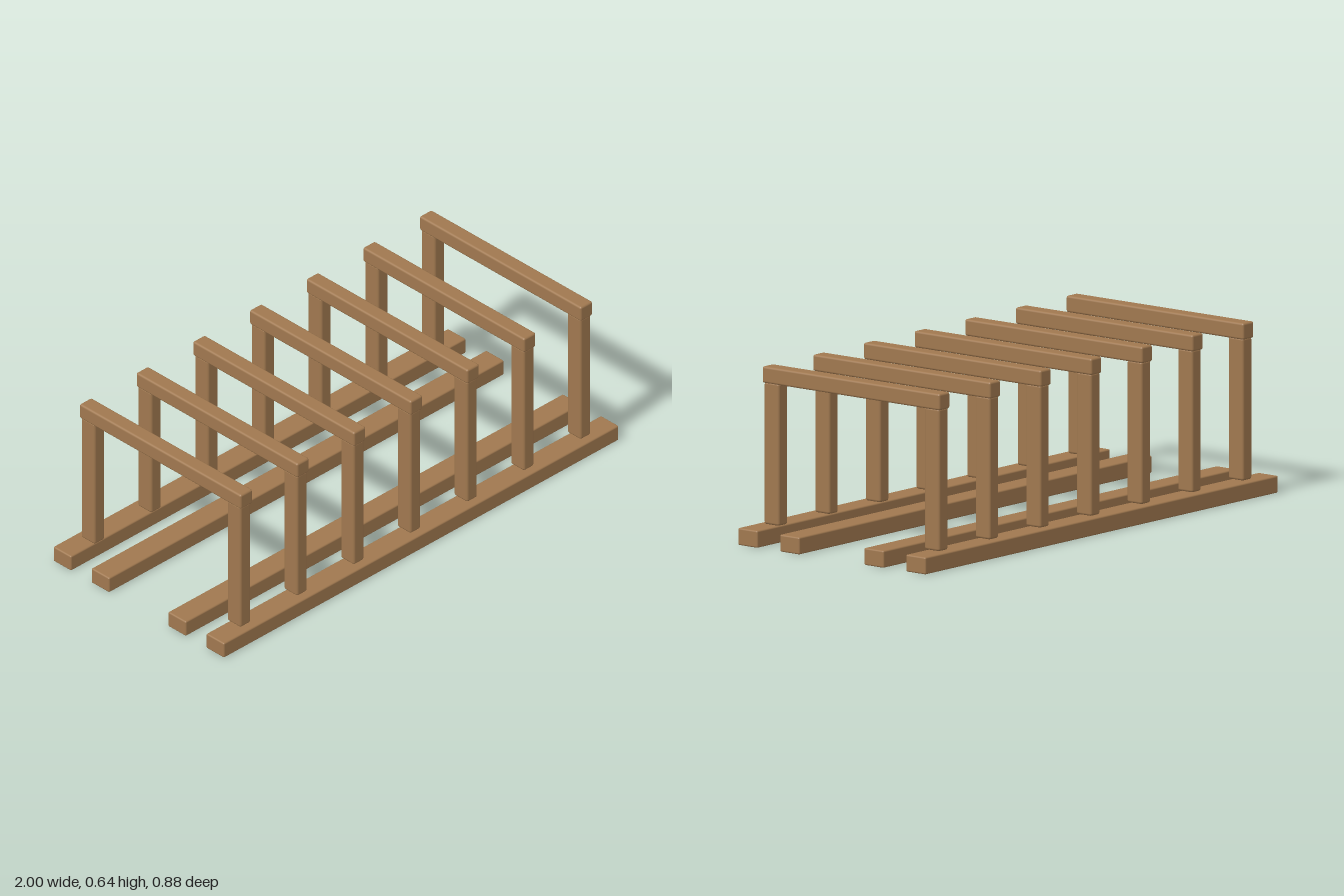
import * as THREE from 'three';
import { RoundedBoxGeometry } from 'three/addons/geometries/RoundedBoxGeometry.js';

export function createModel() {
  const model = new THREE.Group();
  model.name = 'timberRack';

  const wood = new THREE.MeshStandardMaterial({ color: 0xa0784f });
  wood.name = 'brown wood';

  // Softened timber given by its size and centre
  const timber = (parent, name, geometry, x, y, z) => {
    const mesh = new THREE.Mesh(geometry, wood);
    mesh.name = name;
    mesh.position.set(x, y, z);
    parent.add(mesh);
  };

  const railGeometry = new RoundedBoxGeometry(2, 0.063, 0.092, 2, 0.006);
  const postGeometry = new RoundedBoxGeometry(0.053, 0.524, 0.07, 2, 0.009);
  const beamGeometry = new RoundedBoxGeometry(0.061, 0.061, 0.83, 2, 0.008);

  // Four long ground rails
  for (const side of [-1, 1]) {
    timber(model, 'outerRail', railGeometry, 0, 0.0315, side * 0.393);
    timber(model, 'innerRail', railGeometry, 0, 0.0315, side * 0.197);
  }

  // Seven upright frames: two posts and a cross beam each
  const count = 7, spacing = 0.287;
  for (let i = 0; i < count; i++) {
    const frame = new THREE.Group();
    frame.name = 'uprightFrame';
    frame.position.x = (i - (count - 1) / 2) * spacing;
    for (const side of [-1, 1]) {
      timber(frame, side > 0 ? 'frontPost' : 'backPost', postGeometry, 0, 0.326, side * 0.375);
    }
    timber(frame, 'crossBeam', beamGeometry, 0, 0.6135, 0);
    model.add(frame);
  }

  return model;
}
